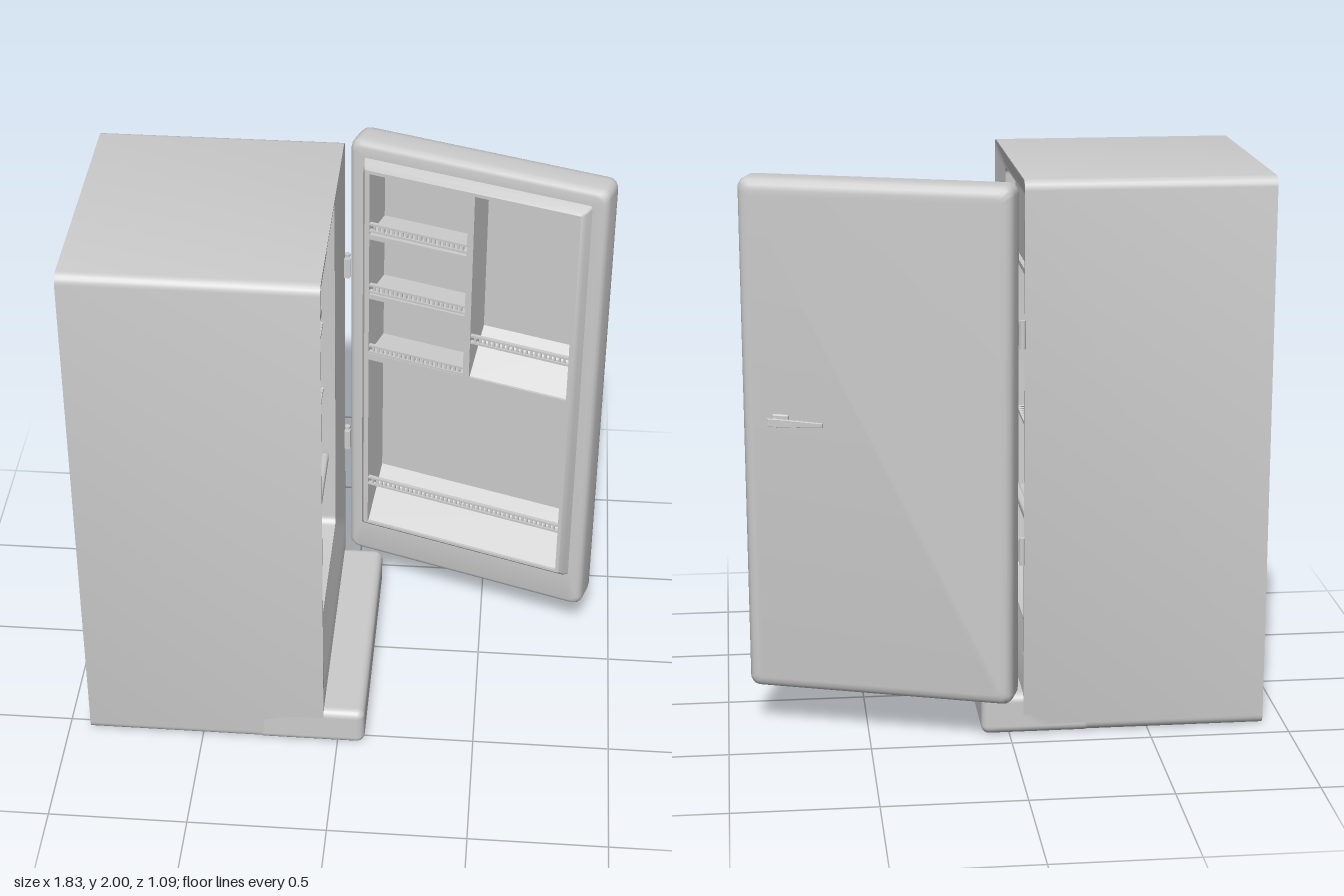
import * as THREE from 'three';
import { toCreasedNormals } from 'three/addons/utils/BufferGeometryUtils.js';
import { RoundedBoxGeometry } from 'three/addons/geometries/RoundedBoxGeometry.js';

const grey = new THREE.MeshStandardMaterial({ color: 0xcccccc, side: THREE.DoubleSide });

function add(parent, name, geometry, x = 0, y = 0, z = 0) {
  const mesh = new THREE.Mesh(geometry, grey);
  mesh.name = name;
  mesh.position.set(x, y, z);
  parent.add(mesh);
  return mesh;
}
const box = (parent, name, x0, x1, y0, y1, z0, z1) =>
  add(parent, name, new THREE.BoxGeometry(x1 - x0, y1 - y0, z1 - z0), (x0 + x1) / 2, (y0 + y1) / 2, (z0 + z1) / 2);

// Skin through rounded rectangles [x0, x1, y0, y1, radius, z]; both ends are capped
function loft(rings, crease = 0.6) {
  const steps = 5, n = 4 * (steps + 1), pos = [], idx = [];
  for (const [x0, x1, y0, y1, r, z] of rings) {
    const corners = [[x1 - r, y1 - r], [x0 + r, y1 - r], [x0 + r, y0 + r], [x1 - r, y0 + r]];
    corners.forEach(([cx, cy], q) => {
      for (let s = 0; s <= steps; s++) {
        const t = (q + s / steps) * Math.PI / 2;
        pos.push(cx + r * Math.cos(t), cy + r * Math.sin(t), z);
      }
    });
  }
  for (let k = 0; k < rings.length - 1; k++) {
    for (let i = 0; i < n; i++) {
      const a = k * n + i, b = k * n + (i + 1) % n;
      idx.push(a, b, b + n, a, b + n, a + n);
    }
  }
  const last = (rings.length - 1) * n;
  for (let i = 1; i < n - 1; i++) idx.push(0, i + 1, i, last, last + i, last + i + 1);
  const g = new THREE.BufferGeometry();
  g.setAttribute('position', new THREE.Float32BufferAttribute(pos, 3));
  g.setIndex(idx);
  return toCreasedNormals(g, crease);
}

function rectPath(path, x0, x1, y0, y1) {
  path.moveTo(x0, y0);
  path.lineTo(x1, y0);
  path.lineTo(x1, y1);
  path.lineTo(x0, y1);
  path.closePath();
  return path;
}

// Lever handle pointing along -x from its pivot, standing out along +z
function handle(parent, name, length) {
  const g = new THREE.Group();
  g.name = name;
  parent.add(g);
  add(g, 'handleBase', new RoundedBoxGeometry(0.06, 0.045, 0.014, 2, 0.006), -0.02, 0, 0.006);
  add(g, 'handleStalk', new THREE.CylinderGeometry(0.01, 0.013, 0.04, 16).rotateX(Math.PI / 2), 0, 0, 0.025);
  const s = new THREE.Shape([[0.014, 0.013], [-0.04, 0.012], [-length, 0.006], [-length, -0.006], [-0.04, -0.012], [0.014, -0.013]]
    .map(p => new THREE.Vector2(...p)));
  add(g, 'handleLever', new THREE.ExtrudeGeometry(s, { depth: 0.006, bevelSize: 0.002, bevelThickness: 0.002, bevelSegments: 2 }), 0, 0, 0.038);
  return g;
}

// Cabinet frame: local x runs across the opening, local z points out of it
function buildCabinet() {
  const cab = new THREE.Group();
  cab.name = 'cabinet';
  const W = 0.485, O = 0.395;
  add(cab, 'cabinetShell', loft([
    [-W, W, 0, 2, 0.035, -0.92],
    [-W, W, 0, 2, 0.035, -0.05],
    [-W + 0.008, W - 0.008, 0.28, 1.992, 0.03, -0.05],
    [-O - 0.012, O + 0.012, 0.333, 1.917, 0.035, -0.08],
    [-O, O, 0.345, 1.905, 0.03, -0.08],
    [-O, O, 0.345, 1.905, 0.03, -0.85],
  ]));
  // Plinth projecting under the door
  add(cab, 'plinth', new RoundedBoxGeometry(2 * W, 0.15, 0.4, 5, 0.03), 0, 0.075, -0.1);

  // Freezer compartment
  box(cab, 'freezerBox', -O, O, 1.59, 1.9, -0.84, -0.14);
  add(cab, 'freezerDoor', new RoundedBoxGeometry(0.76, 0.29, 0.03, 3, 0.012), 0, 1.745, -0.13);
  box(cab, 'freezerSill', -O, O, 1.57, 1.59, -0.84, -0.11);
  const lever = handle(cab, 'freezerHandle', 0.11);
  lever.position.set(-0.315, 1.735, -0.116);
  lever.rotation.z = Math.PI;

  // Wire shelves
  for (const y of [1.28, 0.985]) {
    for (const z of [-0.13, -0.48, -0.83])
      box(cab, 'shelfCrossBar', -O, O, y - 0.012, y, z - 0.006, z + 0.006);
    for (let i = 0; i <= 24; i++)
      add(cab, 'shelfWire', new THREE.CylinderGeometry(0.004, 0.004, 0.71, 6).rotateX(Math.PI / 2), -0.385 + i * 0.77 / 24, y, -0.48);
  }

  // Solid shelf above the drawer
  box(cab, 'drawerShelf', -O, O, 0.655, 0.67, -0.85, -0.13);
  add(cab, 'drawerShelfEdge', new RoundedBoxGeometry(2 * O, 0.036, 0.03, 3, 0.012), 0, 0.667, -0.12);

  // Tapered open drawer, lofted upward
  const drawer = loft([
    [-0.345, 0.345, 0.2, 0.8, 0.02, 0.35],
    [-0.385, 0.385, 0.15, 0.83, 0.02, 0.635],
    [-0.373, 0.373, 0.162, 0.818, 0.02, 0.635],
    [-0.335, 0.335, 0.21, 0.79, 0.02, 0.362],
  ]);
  add(cab, 'drawer', drawer.rotateX(-Math.PI / 2));
  return cab;
}

// Door frame: hinge edge at x = 0, inside faces +z
function buildDoor() {
  const door = new THREE.Group();
  door.name = 'door';
  const W = 0.965, Y0 = 0.155, Y1 = 2;
  const inset = (d, z, r = 0.035) => [d, W - d, Y0 + d, Y1 - d, r, z];
  const L = [0.08, 0.885, 0.335, 1.918], face = 0.045;

  // Outer skin with rounded edges, ending in the raised liner rim
  const skin = loft([
    inset(0.04, -0.14, 0.02), inset(0.022, -0.137, 0.025), inset(0.009, -0.127, 0.03), inset(0.002, -0.113), inset(0, -0.095),
    inset(0, -0.03), inset(0.003, -0.015), inset(0.011, -0.004), inset(0.024, 0, 0.025),
    [0.055, 0.91, 0.3, 1.94, 0.01, 0],
    [0.065, 0.9, 0.315, 1.93, 0.01, 0.025],
    [...L, 0.006, face],
  ], 0.7);
  // Drop the closing cap so the pockets stay open
  const kept = skin.getAttribute('position').array.length / 3, cut = [];
  for (let i = 0; i < kept; i += 3) {
    const p = skin.getAttribute('position');
    const onFace = [0, 1, 2].every(k => p.getZ(i + k) > face - 1e-4);
    if (!onFace) cut.push(i, i + 1, i + 2);
  }
  skin.setIndex(cut);
  add(door, 'doorShell', skin);

  // Liner face pierced by the storage pockets
  const pockets = [
    [0.098, 0.472, 1.655, 1.905], [0.098, 0.472, 1.4, 1.635], [0.098, 0.472, 1.138, 1.38],
    [0.496, 0.872, 1.138, 1.905], [0.098, 0.872, 0.345, 1.11],
  ];
  const plate = rectPath(new THREE.Shape(), ...L);
  for (const p of pockets) plate.holes.push(rectPath(new THREE.Path(), ...p));
  add(door, 'linerFace', new THREE.ShapeGeometry(plate), 0, 0, face);

  // Pocket walls and backs
  for (const [x0, x1, y0, y1] of pockets) {
    const w = x1 - x0, h = y1 - y0, cx = (x0 + x1) / 2, cy = (y0 + y1) / 2, mid = (face - 0.1) / 2, d = face + 0.1;
    add(door, 'pocketBack', new THREE.PlaneGeometry(w, h), cx, cy, -0.1);
    for (const s of [-1, 1]) {
      add(door, 'pocketSide', new THREE.PlaneGeometry(d, h), cx + s * w / 2, cy, mid).rotation.y = -s * Math.PI / 2;
      add(door, 'pocketShelf', new THREE.PlaneGeometry(w, d), cx, cy + s * h / 2, mid).rotation.x = s * Math.PI / 2;
    }
  }

  // Sloping floors of the two tall pockets
  for (const [x0, x1, y0, y1] of [[0.496, 0.872, 1.138, 1.28], [0.098, 0.872, 0.345, 0.525]]) {
    const s = new THREE.Shape([[-0.035, y0], [0.1, y0], [0.1, y1]].map(p => new THREE.Vector2(...p)));
    const g = new THREE.ExtrudeGeometry(s, { depth: x1 - x0, bevelEnabled: false });
    add(door, 'slopedFloor', g.rotateY(Math.PI / 2), x0, 0, 0);
  }

  // Retaining rails: two bars joined by small slats
  for (const [x0, x1, y] of [[0.098, 0.472, 1.683], [0.098, 0.472, 1.424], [0.098, 0.472, 1.157], [0.496, 0.872, 1.305], [0.098, 0.872, 0.543]]) {
    for (const s of [-1, 1])
      box(door, 'railBar', x0, x1, y + s * 0.014 - 0.004, y + s * 0.014 + 0.004, 0.03, 0.044);
    const count = Math.round((x1 - x0) / 0.018);
    for (let i = 1; i < count; i++) {
      const x = x0 + (x1 - x0) * i / count;
      box(door, 'railSlat', x - 0.004, x + 0.004, y - 0.012, y + 0.012, 0.034, 0.04);
    }
  }

  // Outside handle
  const lever = handle(door, 'doorHandle', 0.18);
  lever.position.set(0.84, 1.155, -0.138);
  lever.rotation.x = Math.PI;
  return door;
}

export function createModel() {
  const model = new THREE.Group();
  model.name = 'refrigerator';
  const cabinet = buildCabinet();
  cabinet.rotation.y = Math.PI / 2;
  cabinet.position.z = 0.065;
  model.add(cabinet);

  // Door swung wide open
  const door = buildDoor();
  door.rotation.y = -18.4 * Math.PI / 180;
  door.position.set(-0.035, 0, -0.42);
  model.add(door);

  // Hinges
  for (const y of [1.47, 0.69]) {
    add(model, 'hinge', new THREE.CylinderGeometry(0.011, 0.011, 0.1, 16), -0.042, y, -0.427);
    box(model, 'hingePlate', -0.052, -0.03, y - 0.04, y + 0.04, -0.425, -0.4);
  }
  return model;
}
